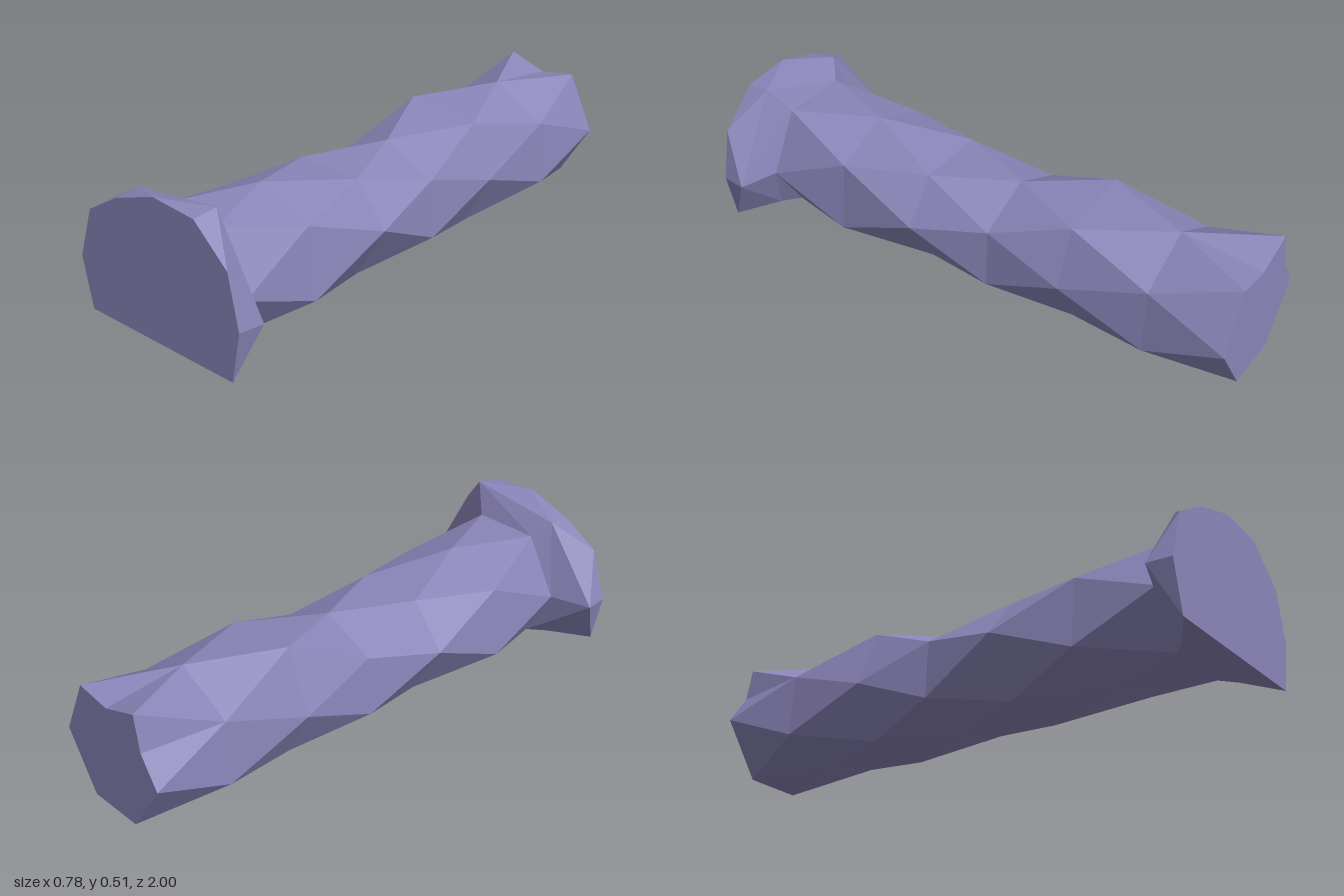
import * as THREE from 'three';

const N = 6;
const mid = (p, q) => p.map((v, k) => (v + q[k]) / 2);
const rotate = (ring) => [...ring.slice(1), ring[0]];
const atZ = (z, pts) => pts.map(([x, y]) => [x, y, z]);

// Hexagon with a side point left and right, and two corners at top and bottom
const sideRing = (z, [xr, xl, ys], [tr, yr], [tl, yl], b = 0.13) =>
  atZ(z, [[xr, ys], [tr, yr], [tl, yl], [xl, ys], [-b, 0], [b, 0]]);

// Hexagon turned by half a step, with single points at top and bottom
const peakRing = (z, [xr, xl, yu], top, [xLow, yLow]) =>
  atZ(z, [[xr, yu], [0, top], [xl, yu], [-xLow, yLow], [0, 0], [xLow, yLow]]);

// Triangles between a back ring and a front ring; extra points may split edges
function band(tris, back, front, backMids = [], frontMids = []) {
  for (let i = 0; i < N; i++) {
    const j = (i + 1) % N;
    const [a, b, c, d] = [back[i], back[j], front[i], front[j]];
    if (backMids[i]) tris.push([a, backMids[i], c], [backMids[i], b, c]);
    else tris.push([a, b, c]);
    if (frontMids[i]) tris.push([b, d, frontMids[i]], [b, frontMids[i], c]);
    else tris.push([b, d, c]);
  }
}

// Flat cover over a ring, facing front or back
function cap(tris, ring, mids, facesFront) {
  const loop = ring.flatMap((p, i) => (mids[i] ? [p, mids[i]] : [p]));
  const centre = [0, 0.2, ring[0][2]];
  loop.forEach((p, i) => {
    const q = loop[(i + 1) % loop.length];
    tris.push(facesFront ? [centre, p, q] : [centre, q, p]);
  });
}

function makeMesh(name, tris) {
  const geometry = new THREE.BufferGeometry();
  geometry.setAttribute('position', new THREE.Float32BufferAttribute(tris.flat(2), 3));
  geometry.computeVertexNormals();
  const material = new THREE.MeshStandardMaterial({ color: 0x8b85b9, flatShading: true });
  const mesh = new THREE.Mesh(geometry, material);
  mesh.name = name;
  return mesh;
}

export function createModel() {
  const group = new THREE.Group();
  group.name = 'fallenColumn';

  // Shaft: staggered hexagons from the far end to the foot
  const rings = [
    sideRing(-1, [0.24, -0.25, 0.2], [0.14, 0.41], [-0.15, 0.44], 0.11),
    peakRing(-0.7, [0.215, -0.215, 0.31], 0.425, [0.23, 0.075]),
    sideRing(-0.37, [0.235, -0.235, 0.19], [0.15, 0.39], [-0.14, 0.42]),
    peakRing(-0.07, [0.21, -0.205, 0.28], 0.375, [0.22, 0.06]),
    sideRing(0.23, [0.26, -0.26, 0.205], [0.135, 0.36], [-0.13, 0.365]),
    peakRing(0.55, [0.22, -0.22, 0.325], 0.415, [0.25, 0.065]),
    sideRing(0.86, [0.255, -0.24, 0.19], [0.135, 0.405], [-0.12, 0.405]),
  ];
  const endMids = [];
  endMids[1] = [0, 0.39, -1];
  endMids[2] = [-0.175, 0.31, -1];
  const shaft = [];
  for (let k = 0; k + 1 < rings.length; k++) {
    const front = k % 2 ? rotate(rings[k + 1]) : rings[k + 1];
    band(shaft, rings[k], front, k === 0 ? endMids : []);
  }
  cap(shaft, rings[0], endMids, false);
  group.add(makeMesh('shaft', shaft));

  // Flared foot: rim just ahead of the shaft, then the flat front face
  const rim = sideRing(0.91, [0.39, -0.39, 0.185], [0.2, 0.51], [-0.175, 0.465], 0.19);
  const face = atZ(1, [[0.338, 0.375], [0.01, 0.515], [-0.315, 0.372], [-0.34, 0], [0, 0], [0.34, 0]]);
  const faceMids = [
    ...atZ(1, [[0.197, 0.5], [-0.17, 0.456], [-0.38, 0.185]]),
    mid(face[3], face[4]),
    mid(face[4], face[5]),
    [0.378, 0.185, 1],
  ];
  const foot = [];
  band(foot, rings[rings.length - 1], rim);
  band(foot, rim, face, [], faceMids);
  cap(foot, face, faceMids, true);
  group.add(makeMesh('foot', foot));

  return group;
}
